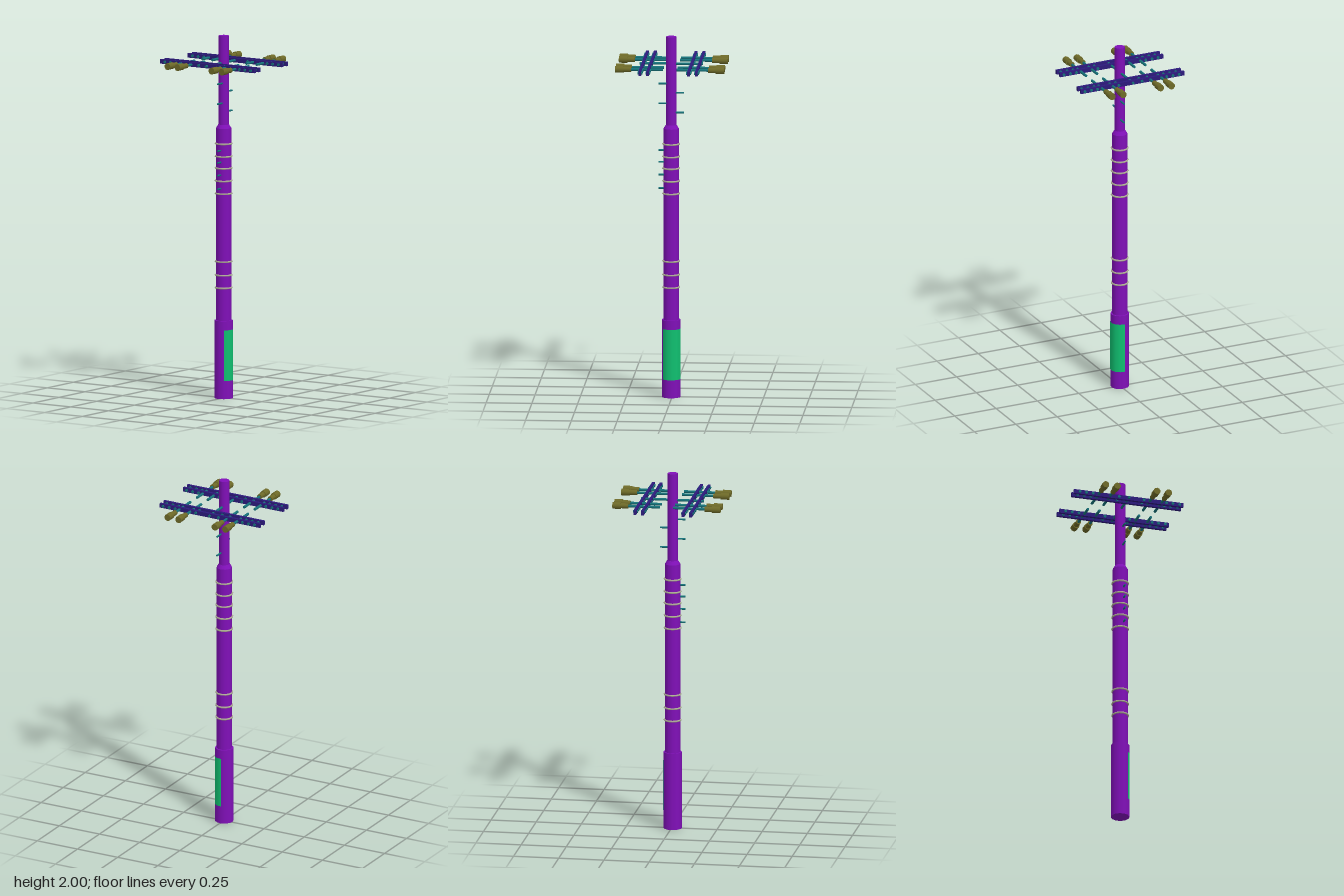
import * as THREE from 'three';

const mat = (color) => new THREE.MeshStandardMaterial({ color });
const POLE_Z = 0.005;
const SIDES = 12;
const TURN = THREE.MathUtils.degToRad(7.5); // facet alignment of the shaft

export function createModel() {
  const root = new THREE.Group();
  const purple = mat(0x8010b8), navy = mat(0x2c1a7c), teal = mat(0x15727a);
  const olive = mat(0x6e6a28), green = mat(0x10c070), band = mat(0xb0ac98);

  const add = (name, geometry, material, x, y, z, parent = root) => {
    const mesh = new THREE.Mesh(geometry, material);
    mesh.name = name;
    mesh.position.set(x, y, z);
    parent.add(mesh);
    return mesh;
  };
  const group = (name) => {
    const g = new THREE.Group();
    g.name = name;
    root.add(g);
    return g;
  };
  // Upright round section between two heights
  const section = (name, r0, r1, y0, y1) => add(name,
    new THREE.CylinderGeometry(r1, r0, y1 - y0, SIDES, 1, false, TURN), purple, 0, (y0 + y1) / 2, POLE_Z);
  // Round bar along z between two depths
  const bar = (name, r, x, y, z0, z1, material, parent) => add(name,
    new THREE.CylinderGeometry(r, r, Math.abs(z1 - z0), 10).rotateX(Math.PI / 2),
    material, x, y, (z0 + z1) / 2, parent);

  // Stepped pole
  section('poleBase', 0.051, 0.051, 0, 0.43);
  section('poleShaft', 0.042, 0.042, 0.43, 1.49);
  section('poleShoulder', 0.042, 0.03, 1.49, 1.51);
  section('poleTop', 0.028, 0.028, 1.51, 2);

  // Curved panel wrapped round the base
  const panelMat = green.clone();
  panelMat.side = THREE.DoubleSide;
  add('basePanel', new THREE.CylinderGeometry(0.0522, 0.0522, 0.28, 5, 1, true,
    TURN + Math.PI / 6, Math.PI * 5 / 6), panelMat, 0, 0.24, POLE_Z);

  // Metal bands
  const bands = group('bands');
  for (const y of [0.61, 0.68, 0.755, 1.13, 1.2, 1.27, 1.335, 1.405]) {
    const ring = new THREE.TorusGeometry(0.0445, 0.005, 6, SIDES).rotateX(Math.PI / 2).rotateY(TURN);
    add('band', ring, band, 0, y, POLE_Z, bands);
  }

  // Climbing steps: alternating above, front only below
  const steps = group('climbingSteps');
  for (const y of [1.16, 1.235, 1.305, 1.37, 1.63, 1.74]) bar('frontStep', 0.005, 0.007, y, 0.025, 0.074, teal, steps);
  for (const y of [1.58, 1.69]) bar('backStep', 0.005, 0.007, y, -0.015, -0.066, teal, steps);

  // Paired crossarms with their bolts
  const arms = group('crossarms');
  const Y = 1.85;
  for (const z of [-0.153, -0.11, 0.113, 0.156]) {
    add('crossarm', new THREE.BoxGeometry(0.624, 0.024, 0.015), navy, 0, Y, z, arms);
    for (const x of [-0.279, -0.242, -0.204, -0.055, 0.086, 0.215, 0.251, 0.29]) {
      bar('bolt', 0.008, x, Y, z - 0.013, z + 0.013, teal, arms);
    }
  }
  bar('centreRod', 0.007, 0, Y, -0.169, 0.177, teal, arms);

  // Rods carrying stepped insulators
  const insulators = group('insulators');
  for (const x of [-0.171, -0.105, 0.121, 0.188]) {
    for (const s of [-1, 1]) {
      bar('insulatorRod', 0.0075, x, Y, s * 0.037, s * 0.22, teal, insulators);
      bar('insulatorNeck', 0.0145, x, Y, s * 0.211, s * 0.253, olive, insulators);
      bar('insulatorCap', 0.019, x, Y, s * 0.252, s * 0.298, olive, insulators);
    }
  }
  return root;
}
